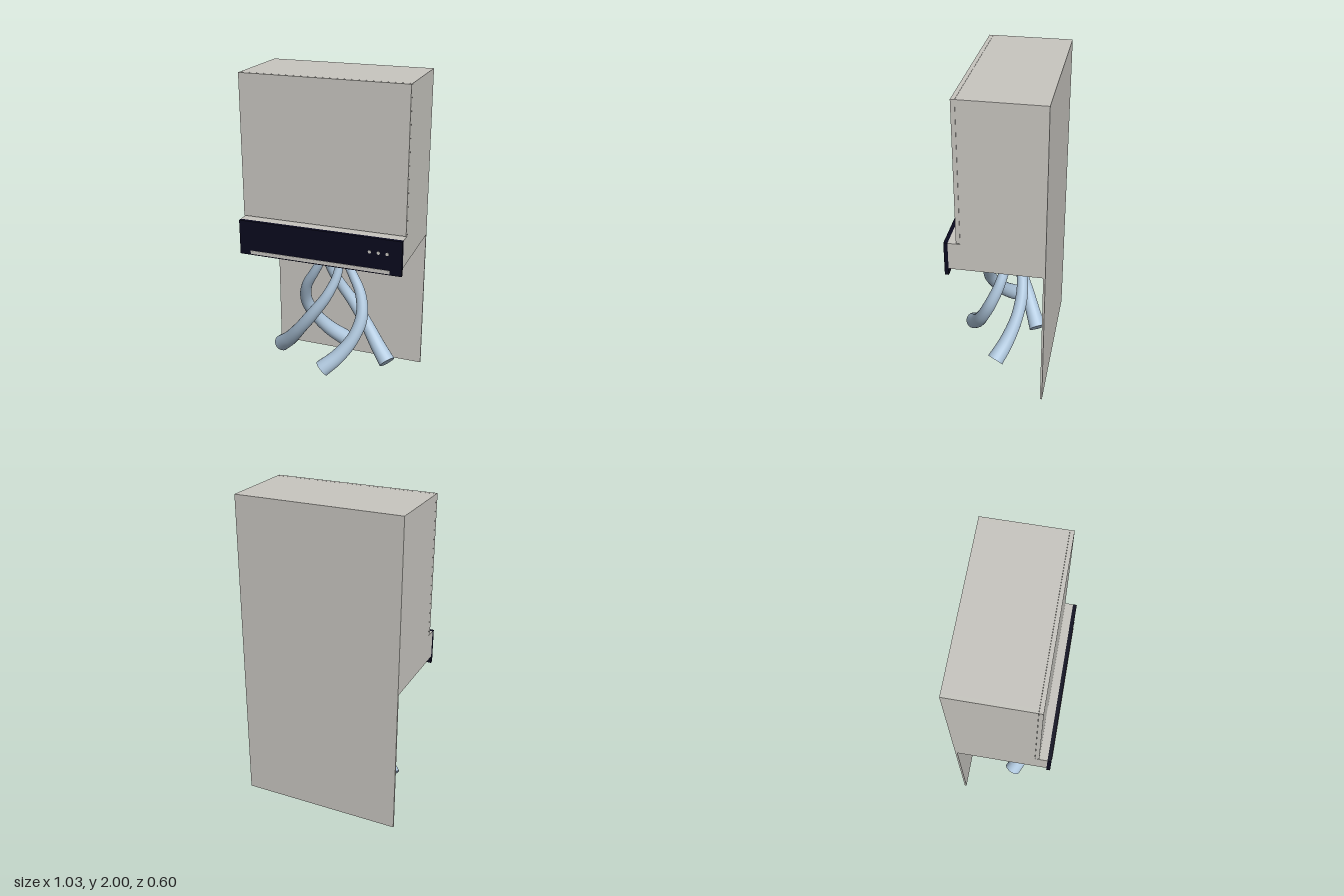
import * as THREE from 'three';

export function createModel() {
  const group = new THREE.Group();
  const panelMat = new THREE.MeshStandardMaterial({ color: 0xc8c6c0 });
  panelMat.name = 'warm grey panel';
  const glassMat = new THREE.MeshStandardMaterial({ color: 0x0a0a1e });
  glassMat.name = 'dark navy glass';
  const airMat = new THREE.MeshStandardMaterial({ color: 0xb0c8de });
  airMat.name = 'pale blue air';

  const add = (name, geometry, material, parent = group) => {
    const mesh = new THREE.Mesh(geometry, material);
    mesh.name = name;
    parent.add(mesh);
    return mesh;
  };
  // Box given by its limits on each axis
  const box = (name, [x0, x1], [y0, y1], [z0, z1], material, parent) => {
    const mesh = add(name, new THREE.BoxGeometry(x1 - x0, y1 - y0, z1 - z0), material, parent);
    mesh.position.set((x0 + x1) / 2, (y0 + y1) / 2, (z0 + z1) / 2);
    return mesh;
  };

  const W = 0.516, T = 0.025, BACK = -0.297;

  // Cabinet made of boards, with the door on its front
  const cabinet = new THREE.Group();
  cabinet.name = 'cabinet';
  group.add(cabinet);
  box('leftSide', [W - T, W], [1.115, 2], [BACK, 0.195], panelMat, cabinet);
  box('rightSide', [-W, T - W], [1.115, 2], [BACK, 0.195], panelMat, cabinet);
  box('topBoard', [T - W, W - T], [2 - T, 2], [BACK, 0.195], panelMat, cabinet);
  box('bottomBoard', [T - W, W - T], [1.115, 1.115 + T], [BACK, 0.195], panelMat, cabinet);
  box('backBoard', [T - W, W - T], [1.115 + T, 2 - T], [BACK, BACK + 0.012], panelMat, cabinet);
  box('door', [-W, W], [1.12, 2], [0.196, 0.22], panelMat, cabinet);

  // Extractor body with a filter plate underneath
  const hood = new THREE.Group();
  hood.name = 'hood';
  group.add(hood);
  box('hoodBody', [-W, W], [0.94, 1.115], [BACK, 0.27], panelMat, hood);
  box('filterPlate', [-0.46, 0.46], [0.936, 0.94], [-0.21, 0.21], panelMat, hood);

  // Glass front with a light strip and three buttons
  box('frontPanel', [-W, W], [0.895, 1.115], [0.27, 0.294], glassMat, hood);
  box('lightStrip', [-0.445, 0.445], [0.902, 0.924], [0.294, 0.297], panelMat, hood);
  for (const x of [0.32, 0.374, 0.427]) {
    const button = add('button', new THREE.CylinderGeometry(0.01, 0.01, 0.003, 16), panelMat, hood);
    button.rotation.x = Math.PI / 2;
    button.position.set(x, 1.026, 0.2955);
  }

  // Wall panel below
  box('wallPanel', [-W, W], [0, 0.94], [BACK, BACK + 0.012], panelMat);

  // One twisting path (across, height, forward), repeated four times by quarter turns
  const path = [
    [0.0, 0.15, 1.0], [0.24, 0.23, 0.78], [0.47, 0.35, 0.52], [0.57, 0.48, 0.26],
    [0.5, 0.61, 0.02], [0.32, 0.73, -0.12], [0.19, 0.82, -0.15], [0.14, 0.9, -0.14],
  ];
  const SEG = 48, SIDES = 20;
  const radiusAt = (t) => 0.024 + 0.016 * Math.min(1, (1 - t) * 1.8) + 0.014 * Math.max(0, 1 - t * 3);
  const airStream = (turn) => {
    const points = path.map(([u, y, v]) => {
      for (let i = 0; i < turn; i++) [u, v] = [v, -u];
      return new THREE.Vector3(u * 0.37, y, 0.03 + v * 0.22);
    });
    const curve = new THREE.CatmullRomCurve3(points);
    const stream = new THREE.Group();
    stream.name = 'airStream';
    group.add(stream);

    // Taper the tube towards the hood
    const tube = new THREE.TubeGeometry(curve, SEG, 1, SIDES, false);
    const pos = tube.attributes.position;
    const p = new THREE.Vector3();
    for (let i = 0; i < pos.count; i++) {
      const t = Math.floor(i / (SIDES + 1)) / SEG;
      const centre = curve.getPointAt(t);
      p.fromBufferAttribute(pos, i).sub(centre).multiplyScalar(radiusAt(t)).add(centre);
      pos.setXYZ(i, p.x, p.y, p.z);
    }
    add('streamTube', tube, airMat, stream);

    // Close both ends
    for (const t of [0, 1]) {
      const cap = add('streamEnd', new THREE.CircleGeometry(radiusAt(t), SIDES), airMat, stream);
      const outward = curve.getTangentAt(t).multiplyScalar(t ? 1 : -1);
      cap.position.copy(curve.getPointAt(t));
      cap.quaternion.setFromUnitVectors(new THREE.Vector3(0, 0, 1), outward);
    }
  };
  for (let turn = 0; turn < 4; turn++) airStream(turn);

  return group;
}
